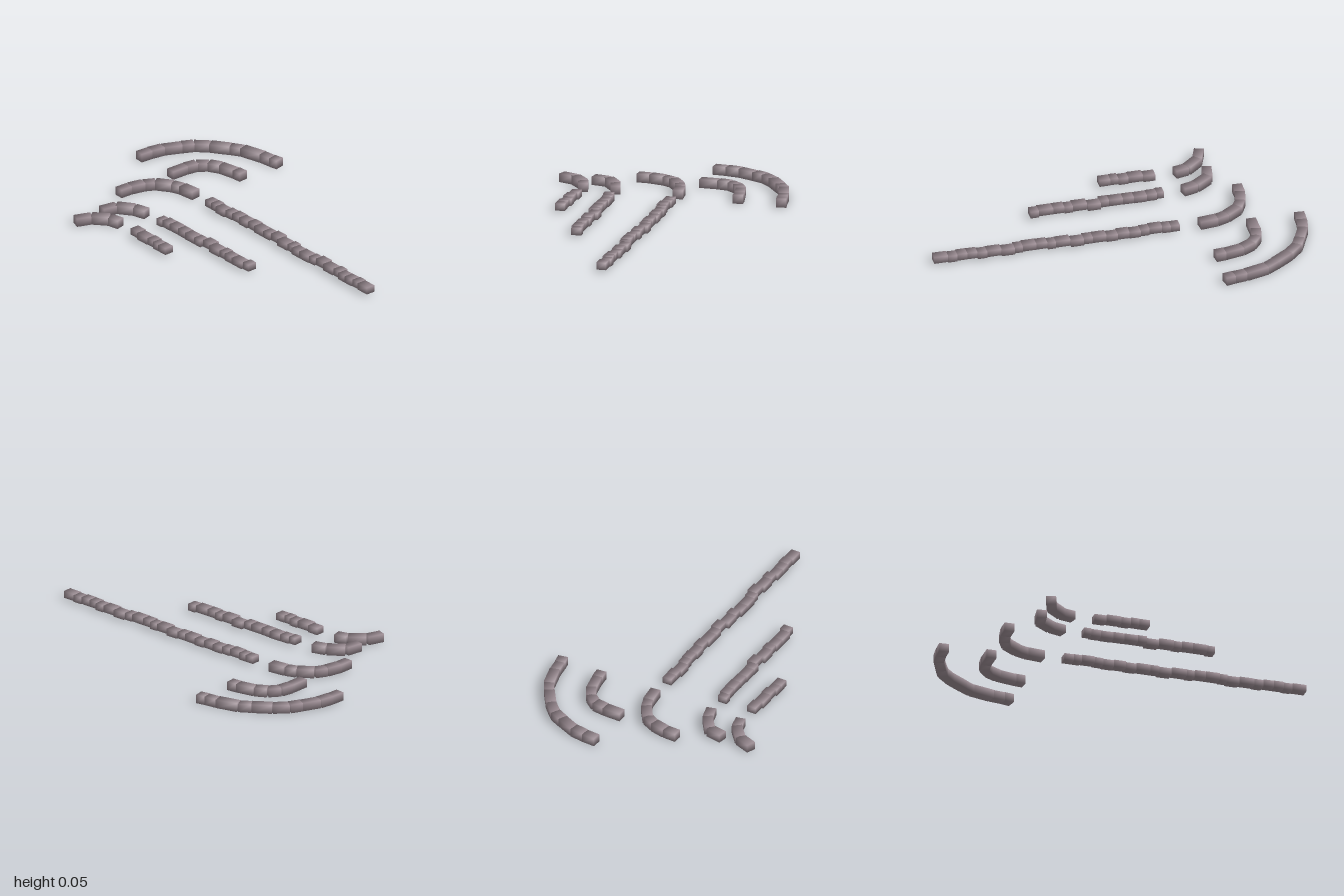
import * as THREE from 'three';
import { mergeVertices } from 'three/addons/utils/BufferGeometryUtils.js';

// Worn stone: a box with shared corners, so shading rolls softly over its edges
function stoneGeometry(width, height, length) {
  const box = new THREE.BoxGeometry(width, height, length);
  box.deleteAttribute('normal');
  box.deleteAttribute('uv');
  const stone = mergeVertices(box);
  const p = stone.attributes.position;
  const normals = [];
  for (let i = 0; i < p.count; i++) {
    const n = new THREE.Vector3(Math.sign(p.getX(i)), Math.sign(p.getY(i)), Math.sign(p.getZ(i)));
    normals.push(...n.normalize().toArray());
  }
  stone.setAttribute('normal', new THREE.Float32BufferAttribute(normals, 3));
  return stone;
}

// Straight rows: z of the joints, x of each stone's centre
const ROWS = [
  { name: 'shortRow',
    z: [-.335, -.27, -.19, -.137, -.093, -.035],
    x: [-.473, -.483, -.478, -.487, -.486] },
  { name: 'middleRow',
    z: [-.335, -.295, -.24, -.17, -.11, -.035, .015, .085, .165, .21, .27, .35, .395],
    x: [-.295, -.286, -.284, -.286, -.288, -.288, -.27, -.286, -.279, -.286, -.286, -.276] },
  { name: 'longRow',
    z: [-.335, -.285, -.24, -.17, -.12, -.06, .005, .065, .14, .19, .26, .34, .385,
      .445, .52, .565, .635, .715, .765, .82, .875, .925, 1],
    x: [.041, .041, .033, .041, .047, .042, .05, .042, .042, .052, .036, .042, .03,
      .03, .036, .047, .036, .042, .03, .03, .036, .03] },
];

// Curved rows: [x, z] of the joints along the centre line
const CURVES = [
  { name: 'firstSmallCurve',
    joints: [[-.638, -.622], [-.553, -.59], [-.49, -.516], [-.474, -.447]] },
  { name: 'secondSmallCurve',
    joints: [[-.461, -.616], [-.373, -.6], [-.315, -.52], [-.294, -.445]] },
  { name: 'middleCurve',
    joints: [[-.251, -.727], [-.177, -.725], [-.098, -.706], [-.04, -.675],
      [.013, -.6], [.034, -.542], [.045, -.447]] },
  { name: 'rightCurve',
    joints: [[.095, -.714], [.198, -.712], [.262, -.701], [.315, -.659],
      [.347, -.6], [.368, -.5], [.373, -.447]] },
  { name: 'largeCurve',
    joints: [[.098, -.976], [.172, -.971], [.246, -.958], [.341, -.915], [.4, -.886],
      [.463, -.823], [.526, -.733], [.563, -.675], [.595, -.556], [.604, -.487], [.614, -.437]] },
];

export function createModel() {
  const model = new THREE.Group();
  model.name = 'kerbStones';
  const stone = new THREE.MeshStandardMaterial({ color: 0x9e8f96 });
  stone.name = 'stone';

  // One stone lying between two points on the ground
  function addStone(group, x0, z0, x1, z1, width, base, top) {
    const length = Math.hypot(x1 - x0, z1 - z0);
    const mesh = new THREE.Mesh(stoneGeometry(width, top - base, length), stone);
    mesh.name = 'stone';
    mesh.position.set((x0 + x1) / 2, (base + top) / 2, (z0 + z1) / 2);
    mesh.rotation.y = Math.atan2(x1 - x0, z1 - z0);
    group.add(mesh);
  }

  // Straight rows, each stone slightly out of line
  for (const { name, x, z } of ROWS) {
    const row = new THREE.Group();
    row.name = name;
    x.forEach((cx, i) => addStone(row, cx, z[i], cx, z[i + 1],
      0.052 + (i % 3) * 0.001, 0.009, 0.046 + (i % 2) * 0.001));
    model.add(row);
  }

  // Curved rows, stones turned to follow the bend
  for (const { name, joints } of CURVES) {
    const curve = new THREE.Group();
    curve.name = name;
    for (let i = 0; i < joints.length - 1; i++) {
      addStone(curve, ...joints[i], ...joints[i + 1],
        0.053 + (i % 2) * 0.002, 0, 0.046 + (i % 2) * 0.001);
    }
    model.add(curve);
  }
  return model;
}
